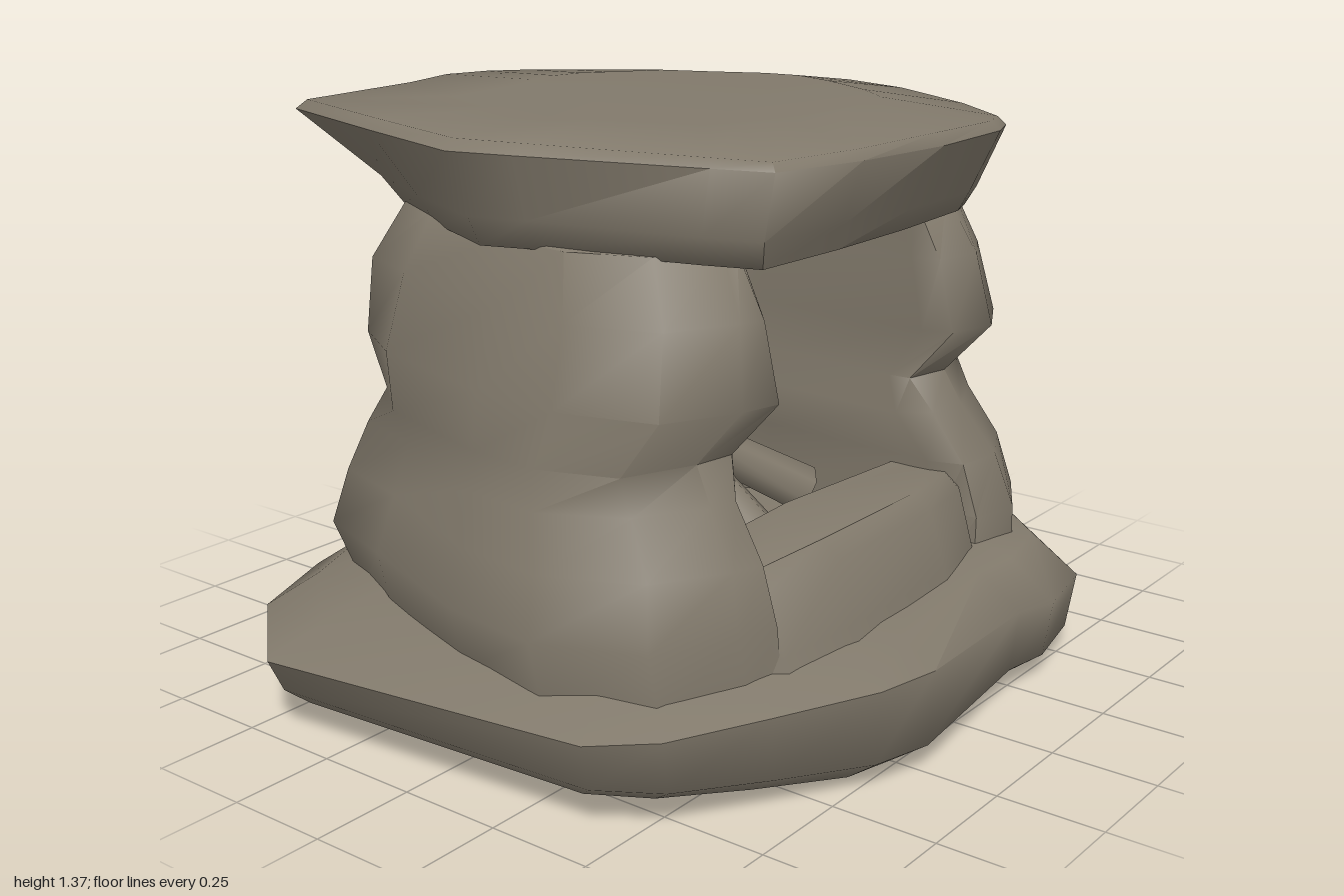
import * as THREE from 'three';
import { toCreasedNormals } from 'three/addons/utils/BufferGeometryUtils.js';

// Skin between stacked closed rings of [x, y, z], capped at both ends
function loft(rings, crease = 1.1) {
  const area = rings[0].reduce((s, p, i, r) => {
    const q = r[(i + 1) % r.length];
    return s + p[0] * q[2] - q[0] * p[2];
  }, 0);
  if (area < 0) rings = rings.map(r => [...r].reverse());
  const n = rings[0].length, index = [];
  for (let i = 0; i < rings.length - 1; i++) {
    for (let j = 0; j < n; j++) {
      const a = i * n + j, b = i * n + (j + 1) % n;
      index.push(a, a + n, b, b, a + n, b + n);
    }
  }
  const cap = (k, up) => {
    const c = rings[k].map(p => new THREE.Vector2(p[0], p[2]));
    for (const [a, b, d] of THREE.ShapeUtils.triangulateShape(c, [])) {
      const s = (c[b].x - c[a].x) * (c[d].y - c[a].y) - (c[b].y - c[a].y) * (c[d].x - c[a].x);
      const o = k * n;
      if ((s < 0) === up) index.push(o + a, o + b, o + d);
      else index.push(o + a, o + d, o + b);
    }
  };
  cap(0, false);
  cap(rings.length - 1, true);
  const g = new THREE.BufferGeometry();
  g.setAttribute('position', new THREE.Float32BufferAttribute(rings.flat(2), 3));
  g.setIndex(index);
  return toCreasedNormals(g, crease);
}

const clamp01 = v => THREE.MathUtils.clamp(v, 0, 1);

export function createModel() {
  const group = new THREE.Group();
  const stone = new THREE.MeshStandardMaterial({ color: 0x81796b });
  stone.name = 'stone';
  const add = (name, geo) => {
    const m = new THREE.Mesh(geo, stone);
    m.name = name;
    group.add(m);
    return m;
  };

  // Base slab: irregular outline, sloping top, lifted at one end
  const base = [[-1, -0.43], [-0.78, -0.69], [-0.53, -0.79], [0, -0.81], [0.3, -0.77], [0.62, -0.69],
    [0.79, -0.58], [0.93, -0.33], [1, -0.09], [0.95, 0.08], [0.9, 0.26], [0.73, 0.56], [0.55, 0.77],
    [0.35, 0.81], [0.22, 0.79], [-0.25, 0.84], [-0.4, 0.8], [-0.62, 0.68], [-0.83, 0.56], [-0.93, 0.43]];
  const lift = x => Math.max(0, -x - 0.45) * 0.13;
  const baseRing = (sx, sz, y) => base.map(([x, z]) => [x * sx, y(x, z), z * sz]);
  add('baseSlab', loft([
    baseRing(0.93, 0.88, x => lift(x)),
    baseRing(0.965, 0.98, x => 0.06 + lift(x) * 0.6),
    baseRing(1, 1, (x, z) => 0.225 + 0.03 * x + 0.03 * z - 0.07 * clamp01((x + z - 0.6) / 0.6)),
    baseRing(0.88, 0.88, (x, z) => 0.28 + 0.025 * x + 0.01 * z),
    baseRing(0.7, 0.7, () => 0.31),
  ], 1.25));

  // Capstone: overhanging slab, one back corner undercut, the other bevelled on top
  const top = [[-0.58, -0.72], [-0.2, -0.76], [-0.02, -0.83], [0.14, -0.85], [0.28, -0.82], [0.38, -0.75],
    [0.57, -0.62], [0.65, -0.42], [0.75, -0.2], [0.77, -0.05], [0.7, 0.15], [0.55, 0.42], [0.4, 0.6],
    [0.3, 0.64], [0, 0.67], [-0.3, 0.66], [-0.55, 0.62], [-0.6, 0.5], [-0.75, 0.12], [-0.8, -0.02], [-0.7, -0.35]];
  const bevel = (x, z) => clamp01((x - z - 0.6) / 0.5);
  const flare = (x, z) => 1 - 0.1 * clamp01((-x - z - 0.9) / 0.4) + 0.09 * clamp01((z - x - 0.85) / 0.3);
  const topRing = (s, y) => top.map(([x, z]) => {
    const [sx, sz] = s(x, z);
    return [x * sx, y(x, z), z * sz];
  });
  const under = (r, l, f, b) => (x, z) => {
    const u = flare(x, z);
    return [(x > 0 ? r : l) * u, (z > 0 ? f : b) * u];
  };
  add('capstone', loft([
    topRing(() => [0.55, 0.5], () => 1.1),
    topRing(under(0.93, 0.89, 0.86, 0.76), x => 1.125 - 0.01 * x),
    topRing(under(0.98, 0.93, 0.89, 0.84), x => 1.175 - 0.03 * x),
    topRing(() => [1, 1], (x, z) => 1.325 - 0.02 * x - 0.01 * z - 0.08 * bevel(x, z)),
    topRing((x, z) => Array(2).fill(0.97 - 0.06 * bevel(x, z)),
      (x, z) => 1.365 - 0.04 * Math.max(0, x) - 0.03 * Math.max(0, z)),
    topRing(() => [0.6, 0.6], () => 1.372),
  ]));

  // Horseshoe wall, open at the front; outline is in units of each level's reach
  const outer = [[0.4, 0.96], [0.56, 1], [0.77, 0.87], [0.93, 0.48], [1, 0.02], [0.94, -0.42], [0.78, -0.74],
    [0.42, -0.95], [0, -1], [-0.4, -0.95], [-0.71, -0.76], [-0.89, -0.42], [-0.98, 0], [-1, 0.4],
    [-0.9, 0.78], [-0.7, 0.94]];
  // y, left reach, right reach, front, back, opening right side, opening left side
  const levels = [
    [0.22, 0.79, 0.85, 0.64, 0.67, -0.47, 0.32],
    [0.37, 0.82, 0.88, 0.63, 0.76, -0.48, 0.31],
    [0.5, 0.79, 0.84, 0.59, 0.73, -0.48, 0.29],
    [0.62, 0.74, 0.81, 0.51, 0.68, -0.46, 0.25],
    [0.7, 0.72, 0.79, 0.46, 0.66, -0.36, 0.28],
    [0.83, 0.72, 0.78, 0.58, 0.72, -0.35, 0.26],
    [1.0, 0.69, 0.72, 0.54, 0.72, -0.35, 0.26],
    [1.14, 0.65, 0.68, 0.47, 0.61, -0.36, 0.26],
  ];
  add('wall', loft(levels.map(([y, l, r, f, b, inR, inL], k) => {
    const shell = outer.map(([x, z], j) => {
      // Swells and hollows round the back read as stacked boulders
      const swell = (z < 0 ? 0.035 : 0.012) * (k < 7 ? 1 : 0.3);
      const s = 0.995 + swell * Math.sin(j * 2 + (k > 3 ? 2.6 : 0) + k * 0.5);
      return [x * (x > 0 ? l : r) * s, y + (z < 0 ? 0.03 * Math.sin(j * 1.9) : 0), z * (z > 0 ? f : b) * s];
    });
    return [[inL, y, f * 0.82], ...shell, [(inR - 0.5) / 2 - 0.02, y, f * 0.97], [inR, y, f * 0.82],
      [inR + 0.01, y, 0.1], [-0.37, y, -0.2], [-0.25, y, -0.4], [0, y, -0.45], [0.2, y, -0.38], [inL + 0.02, y, 0]];
  }), 1.2));

  // Sill stone across the mouth of the hearth, spreading into the base
  const sill = [[-0.6, 0.38], [-0.15, 0.38], [0.4, 0.38], [0.42, 0.5], [0.3, 0.59], [0.1, 0.63],
    [-0.3, 0.64], [-0.5, 0.6], [-0.62, 0.5]];
  add('sill', loft([[0.22, 1.1], [0.32, 1.04], [0.46, 0.97], [0.495, 0.9]].map(([y, s]) =>
    sill.map(([x, z]) => [x, y - 0.06 * Math.max(0, x) - (x < -0.4 ? 0.02 : 0), z > 0.45 ? z * s : z]))));

  // Stone jutting into the hearth
  const rock = [[-0.42, -0.42], [-0.22, -0.4], [-0.17, -0.28], [-0.25, -0.12], [-0.42, -0.08]];
  add('innerStone', loft([[0.28, 1], [0.62, 1.02], [0.8, 0.95], [0.85, 0.8]].map(([y, s]) =>
    rock.map(([x, z]) => [-0.42 + (x + 0.42) * s, y - 0.1 * (x + 0.42), z * s]))));

  // Firewood leaning together inside
  const logs = [[0.18, 0.4, 0.2, -0.14, 0.62, -0.02], [-0.32, 0.42, 0.2, -0.06, 0.58, -0.04],
    [0.1, 0.34, -0.26, -0.1, 0.59, 0], [-0.1, 0.36, 0.28, -0.06, 0.54, 0]];
  for (const [ax, ay, az, bx, by, bz] of logs) {
    const a = new THREE.Vector3(ax, ay, az), b = new THREE.Vector3(bx, by, bz);
    const dir = b.clone().sub(a);
    const m = add('log', toCreasedNormals(new THREE.CylinderGeometry(0.045, 0.06, dir.length(), 7), 1));
    m.position.copy(a).add(b).multiplyScalar(0.5);
    m.quaternion.setFromUnitVectors(new THREE.Vector3(0, 1, 0), dir.normalize());
  }
  return group;
}
